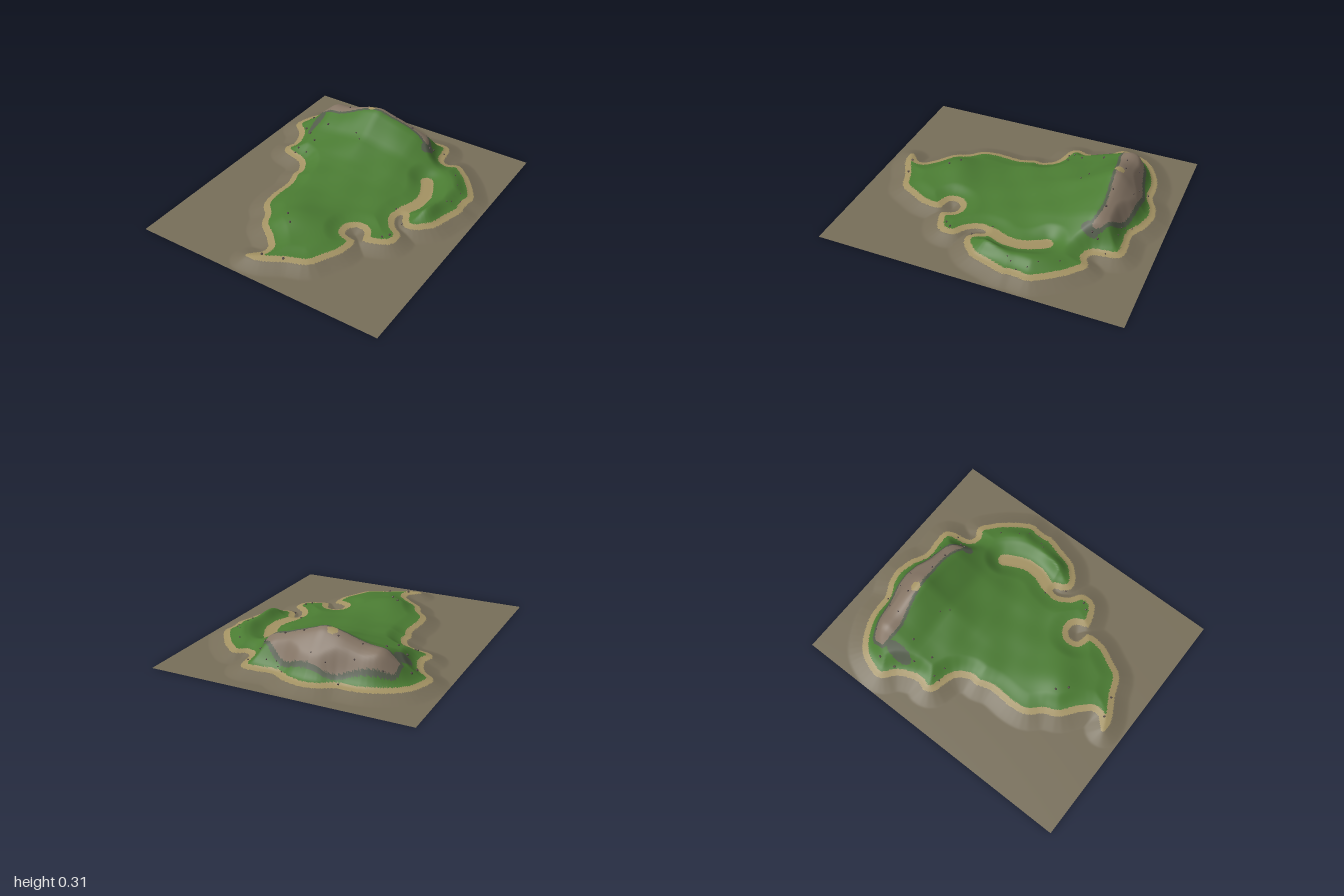
import * as THREE from 'three';

const W = 0.855, D = 1, NX = 200, NZ = 232;
const { smoothstep, clamp } = THREE.MathUtils;

// Smooth closed or open line through x,z pairs
function trace(flat, closed, count) {
  const pts = [];
  for (let i = 0; i < flat.length; i += 2) pts.push(new THREE.Vector2(flat[i], flat[i + 1]));
  if (closed) pts.push(pts[0].clone());
  return new THREE.SplineCurve(pts).getPoints(count);
}

// Distance to a line; positive inside when the line is closed
function distance(line, x, z) {
  let best = Infinity, inside = false;
  for (let i = 1; i < line.length; i++) {
    const a = line[i - 1], b = line[i], ex = b.x - a.x, ez = b.y - a.y;
    const t = clamp(((x - a.x) * ex + (z - a.y) * ez) / (ex * ex + ez * ez || 1), 0, 1);
    best = Math.min(best, Math.hypot(x - a.x - t * ex, z - a.y - t * ez));
    if ((a.y > z) !== (b.y > z) && x < a.x + (z - a.y) / ez * ex) inside = !inside;
  }
  return inside ? best : -best;
}

// Rounded interpolation through x,value pairs
function profile(table, x) {
  const at = v => {
    if (v <= table[0][0]) return table[0][1];
    for (let i = 1; i < table.length; i++) {
      const [x0, y0] = table[i - 1], [x1, y1] = table[i];
      if (v <= x1) return y0 + (y1 - y0) * (v - x0) / (x1 - x0);
    }
    return table[table.length - 1][1];
  };
  let sum = 0;
  for (let k = -2; k <= 2; k++) sum += at(x + k * 0.012);
  return sum / 5;
}

const bump = (x, z, cx, cz, sx, sz) => Math.exp(-(((x - cx) / sx) ** 2) - ((z - cz) / sz) ** 2);

// Shoreline, from the north tip round by the east
const coast = trace([
  -0.1, -0.9, 0.02, -0.87, 0.12, -0.82, 0.3, -0.83, 0.36, -0.78, 0.38, -0.66, 0.43, -0.63,
  0.5, -0.66, 0.58, -0.6, 0.64, -0.54, 0.7, -0.46, 0.75, -0.37, 0.74, -0.27, 0.75, -0.2,
  0.72, -0.1, 0.68, 0.03, 0.6, 0.11, 0.53, 0.13, 0.48, 0.09, 0.46, 0.04, 0.435, 0.04, 0.43, 0.09,
  0.47, 0.16, 0.53, 0.2, 0.55, 0.26, 0.53, 0.32, 0.47, 0.36, 0.38, 0.385, 0.36, 0.36, 0.34, 0.31,
  0.29, 0.29, 0.24, 0.32, 0.24, 0.38, 0.28, 0.4, 0.33, 0.41, 0.34, 0.46,
  0.33, 0.55, 0.28, 0.65, 0.22, 0.75, 0.1, 0.8, 0.03, 0.84, -0.05, 0.88, -0.13, 0.89, -0.14, 0.86,
  -0.08, 0.8, -0.08, 0.74, -0.15, 0.67, -0.24, 0.6, -0.29, 0.5, -0.36, 0.42, -0.38, 0.3,
  -0.37, 0.15, -0.4, 0.05, -0.4, -0.02, -0.46, -0.1, -0.6, -0.14, -0.64, -0.2,
  -0.62, -0.28, -0.67, -0.4, -0.74, -0.46, -0.76, -0.52, -0.73, -0.62, -0.68, -0.7,
  -0.58, -0.77, -0.45, -0.82, -0.3, -0.83, -0.2, -0.88], true, 210);
// Sandy inlet between the eastern arm and the main island
const inlet = trace([0.41, -0.36, 0.45, -0.29, 0.48, -0.2, 0.475, -0.1, 0.44, -0.01, 0.44, 0.08], false, 24);
// Bare cliff on the steep northern side
const cliffEdge = trace([
  -0.59, -0.58, -0.58, -0.66, -0.48, -0.71, -0.35, -0.74, -0.22, -0.78, -0.08, -0.78, 0.05, -0.76,
  0.17, -0.71, 0.26, -0.65, 0.27, -0.6, 0.2, -0.62, 0.1, -0.635, -0.05, -0.62, -0.18, -0.61,
  -0.3, -0.59, -0.45, -0.56], true, 70);

const ridgeHeight = [[-0.74, 0], [-0.62, 0.06], [-0.5, 0.165], [-0.4, 0.175], [-0.25, 0.225], [-0.12, 0.255],
  [0, 0.215], [0.2, 0.155], [0.3, 0.09], [0.4, 0.03], [0.55, 0.005]];
const ridgeFall = [[-0.26, 0.08], [-0.2, 0.25], [-0.13, 0.55], [-0.06, 0.87], [-0.015, 1], [0.02, 1], [0.12, 0.76],
  [0.22, 0.5], [0.32, 0.37], [0.42, 0.24], [0.52, 0.15], [0.75, 0.04], [1, 0]];

// Ground height and the surface measures used for colouring
function ground(x, z) {
  const shore = distance(coast, x, z);
  const land = Math.min(shore, Math.abs(distance(inlet, x, z)));
  if (shore < 0) return { y: 0.035 * Math.max(0, 1 + shore / 0.1) ** 1.2, shore, land };
  const s = z + 0.615 - 0.25 * Math.max(0, Math.abs(x + 0.15) - 0.25) ** 2;
  const hills = profile(ridgeHeight, x) * profile(ridgeFall, s)
    + 0.05 * bump(x, z, -0.04, 0.45, 0.18, 0.17) + 0.06 * bump(x, z, 0.61, -0.04, 0.08, 0.12)
    + 0.035 * bump(x, z, 0.6, -0.35, 0.1, 0.2) + 0.012
    + 0.004 * Math.sin(x * 19 + z * 7) * Math.sin(z * 15 - x * 5);
  const y = 0.035 + 0.01 * Math.min(shore / 0.04, 1) + smoothstep(land, 0.02, 0.14) * hills;
  return { y, shore, land };
}

function material(name, color, side = THREE.FrontSide) {
  const m = new THREE.MeshStandardMaterial({ color, side });
  m.name = name;
  return m;
}

export function createModel() {
  const island = new THREE.Group();
  island.name = 'island';

  // Sample the terrain on a grid
  const positions = [], info = [];
  for (let j = 0; j <= NZ; j++) {
    for (let i = 0; i <= NX; i++) {
      const x = -W + 2 * W * i / NX, z = -D + 2 * D * j / NZ, g = ground(x, z);
      g.x = x;
      g.z = z;
      g.cliff = z < -0.45 ? distance(cliffEdge, x, z) : -1;
      positions.push(x, g.y, z);
      info.push(g);
    }
  }

  // Choose the ground cover of each triangle
  const cover = { seabed: [], beach: [], grass: [], cliff: [], rockFringe: [] };
  const sort = (...tri) => {
    const mean = k => (info[tri[0]][k] + info[tri[1]][k] + info[tri[2]][k]) / 3;
    const x = mean('x'), z = mean('z'), cliff = mean('cliff');
    let kind = 'grass';
    if (mean('shore') < 0) kind = 'seabed';
    else if (mean('land') < 0.042 || Math.hypot(x + 0.18, z + 0.625) < 0.032) kind = 'beach';
    else if (cliff > 0) kind = 'cliff';
    else if (cliff > -0.018 || bump(x, z, -0.56, -0.47, 0.045, 0.1) > 0.4
      || bump(x, z, 0.28, -0.59, 0.035, 0.06) > 0.4) kind = 'rockFringe';
    cover[kind].push(...tri);
  };
  for (let j = 0; j < NZ; j++) {
    for (let i = 0; i < NX; i++) {
      const a = j * (NX + 1) + i, b = a + NX + 1;
      sort(a, b, b + 1);
      sort(a, b + 1, a + 1);
    }
  }

  // One shared smooth surface, one mesh for each ground cover
  const surface = new THREE.BufferGeometry();
  surface.setAttribute('position', new THREE.Float32BufferAttribute(positions, 3));
  surface.setIndex(Object.values(cover).flat());
  surface.computeVertexNormals();
  const colors = { seabed: 0x776e59, beach: 0xa39263, grass: 0x4a7b32, cliff: 0x857565, rockFringe: 0x545d4c };
  for (const [name, index] of Object.entries(cover)) {
    const geometry = new THREE.BufferGeometry();
    geometry.setAttribute('position', surface.attributes.position);
    geometry.setAttribute('normal', surface.attributes.normal);
    geometry.setIndex(index);
    const mesh = new THREE.Mesh(geometry, material(name, colors[name], THREE.DoubleSide));
    mesh.name = name;
    island.add(mesh);
  }

  // Scattered boulders
  const spots = [
    -0.3, -0.8, -0.53, -0.69, -0.36, -0.71, -0.2, -0.76, -0.1, -0.75, 0.07, -0.8, 0.11, -0.77, 0.13, -0.75,
    0.2, -0.75, 0.35, -0.72, -0.37, -0.62, -0.23, -0.65, 0, -0.64, 0.13, -0.64, 0.3, -0.65, 0.29, -0.61,
    -0.65, -0.56, -0.64, -0.45, -0.54, -0.36, -0.44, -0.44, -0.45, -0.28, -0.53, -0.2, -0.53, -0.16, -0.45, -0.18,
    -0.19, -0.42, -0.14, -0.38, 0.62, -0.39, 0.67, -0.34, 0.66, -0.23, 0.7, -0.28, 0.64, -0.2, 0.55, -0.5,
    0.39, 0.01, 0.49, 0.11, 0.46, 0.3, 0.49, 0.26, -0.12, 0.48, -0.06, 0.54, 0.07, 0.79, -0.06, 0.83];
  const boulders = new THREE.Group();
  boulders.name = 'boulders';
  const stone = material('dark stone', 0x554a48);
  stone.flatShading = true;
  const shape = new THREE.DodecahedronGeometry(0.008, 0);
  for (let i = 0; i < spots.length; i += 2) {
    const rock = new THREE.Mesh(shape, stone);
    rock.name = 'boulder';
    rock.position.set(spots[i], ground(spots[i], spots[i + 1]).y + 0.003, spots[i + 1]);
    rock.rotation.set(i, i * 2, 0);
    rock.scale.setScalar(0.8 + 0.25 * Math.sin(i * 3));
    boulders.add(rock);
  }
  island.add(boulders);
  return island;
}
